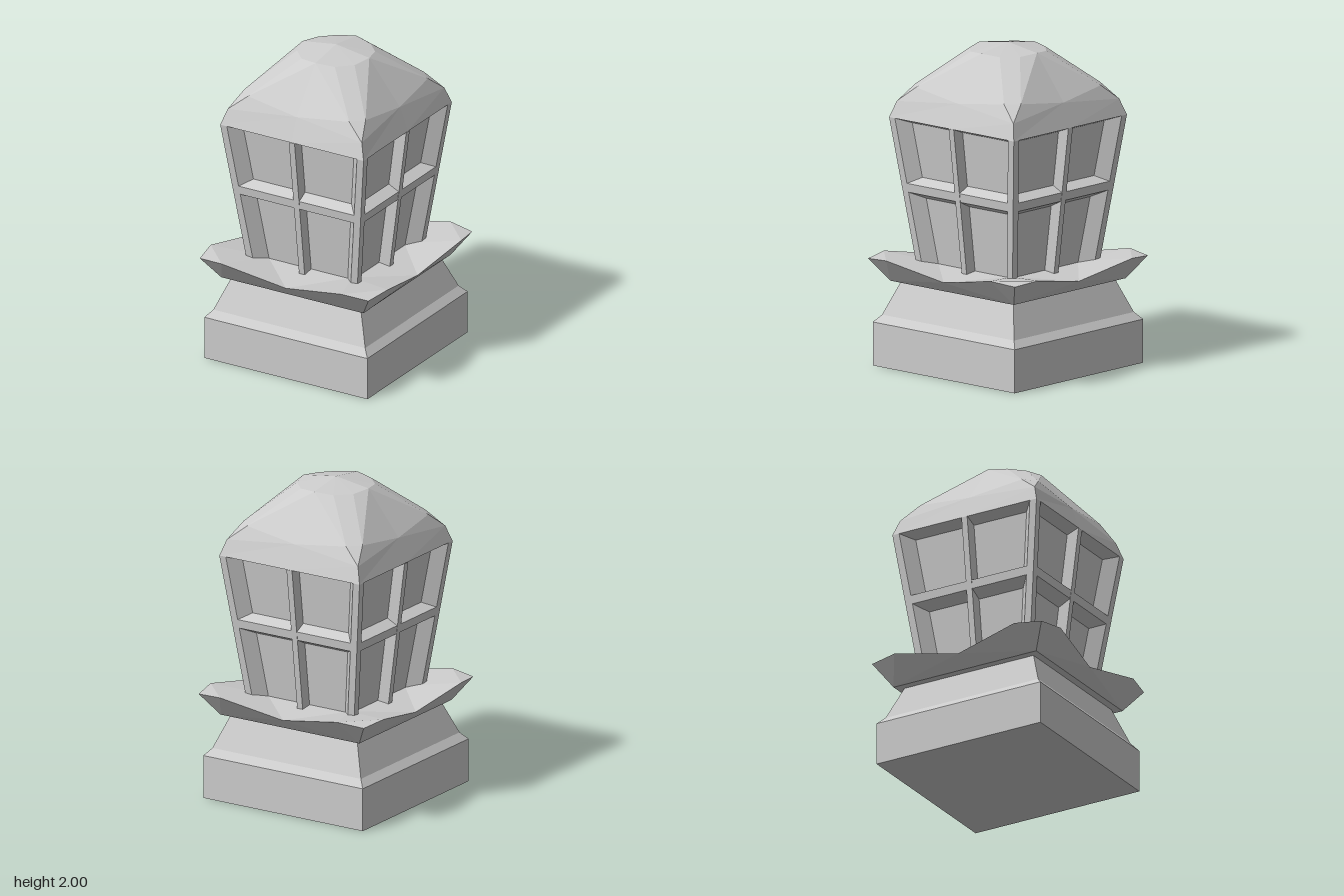
import * as THREE from 'three';

const material = new THREE.MeshStandardMaterial({ color: 0xcccccc, flatShading: true });

// One side given as [along, y, out] points, repeated around the four sides.
function ring(side) {
  const pts = [];
  for (let k = 0; k < 4; k++) {
    for (const [a, y, o] of side) {
      const [x, z] = [[a, o], [o, -a], [-a, -o], [-o, a]][k];
      pts.push([x, y, z]);
    }
  }
  return pts;
}
// Square ring, with its corners listed as often as the neighbouring ring needs.
const square = (h, y, signs = [-1]) => ring(signs.map((s) => [s * h, y, h]));

// Skin closed rings, bottom to top; repeated points simply fold a quad into a triangle.
function loft(name, rings) {
  const pos = [];
  const key = (p) => p.map((v) => v.toFixed(5)).join();
  const triangle = (...t) => {
    if (new Set(t.map(key)).size === 3) pos.push(...t.flat());
  };
  for (let r = 0; r + 1 < rings.length; r++) {
    const a = rings[r], b = rings[r + 1], n = a.length;
    for (let i = 0; i < n; i++) {
      const j = (i + 1) % n;
      triangle(a[i], a[j], b[j]);
      triangle(a[i], b[j], b[i]);
    }
  }
  const g = new THREE.BufferGeometry();
  g.setAttribute('position', new THREE.Float32BufferAttribute(pos, 3));
  g.computeVertexNormals();
  const mesh = new THREE.Mesh(g, material);
  mesh.name = name;
  return mesh;
}

// Half widths of the tapering lantern: frame face and recessed panes.
const outer = (y) => 0.51 - (1.54 - y) * 0.128;
const inner = (y) => outer(y) - 0.075;

export function createModel() {
  const group = new THREE.Group();
  group.name = 'lantern';

  // Stepped plinth
  group.add(loft('plinth', [
    square(0, 0), square(0.58, 0), square(0.58, 0.27), square(0.54, 0.315), square(0.455, 0.53),
  ]));

  // Tray with upturned corners and a faceted floor
  const rim = [[-0.425, 0.68, 0.63], [0, 0.6, 0.58], [0.425, 0.68, 0.63]];
  group.add(loft('tray', [
    square(0, 0.525, [-1, -1, 1, 1]),
    square(0.505, 0.525, [-1, -1, 1, 1]),
    ring([[-0.6, 0.665, 0.6], ...rim]),
    ring([[-0.5275, 0.68, 0.5275], ...rim]),
    square(0.3, 0.635, [-1, -1, -1, 1]),
  ]));

  // Recessed panes
  group.add(loft('panes', [square(inner(0.58), 0.58), square(inner(1.54), 1.54)]));

  // Bevelled rail around the middle
  group.add(loft('middleRail', [
    square(inner(1.04), 1.04), square(outer(1.08), 1.08),
    square(outer(1.135), 1.135), square(inner(1.17), 1.17),
  ]));

  // Corner posts with splayed sides, and centre mullions
  const postSection = (y) => {
    const a = outer(y), c = inner(y), edge = a - 0.047, foot = a - 0.114;
    return [[foot, y, c], [edge, y, a], [a, y, a], [a, y, edge], [c, y, foot]];
  };
  const barSection = (y) => {
    const a = outer(y) + 0.002, c = inner(y) - 0.01;
    return [[-0.02, y, a], [0.02, y, a], [0.02, y, c], [-0.02, y, c]];
  };
  for (let k = 0; k < 4; k++) {
    const post = loft('cornerPost', [postSection(0.59), postSection(1.54)]);
    const bar = loft('mullion', [barSection(0.59), barSection(1.54)]);
    post.rotation.y = bar.rotation.y = k * Math.PI / 2;
    group.add(post, bar);
  }

  // Roof: square eaves, cut corners, and a round, slightly peaked crown
  const r = 0.237;
  const sideMid = [0, 1.69, 0.455], crownMid = [0, 1.965, r];
  const roofRing = (a, y, o, mid) => ring([[-a, y, o], mid, [a, y, o]]);
  group.add(loft('roof', [
    square(inner(1.51), 1.51, [-1, 0, 1]),
    square(0.51, 1.54, [-1, 0, 1]),
    roofRing(0.477, 1.64, 0.477, sideMid),
    roofRing(0.36, 1.735, 0.432, sideMid),
    roofRing(0.36, 1.735, 0.432, crownMid),
    roofRing(r / 2, 1.955, r * 0.866, crownMid),
    square(0, 2, [-1, 0, 1]),
  ]));
  return group;
}
